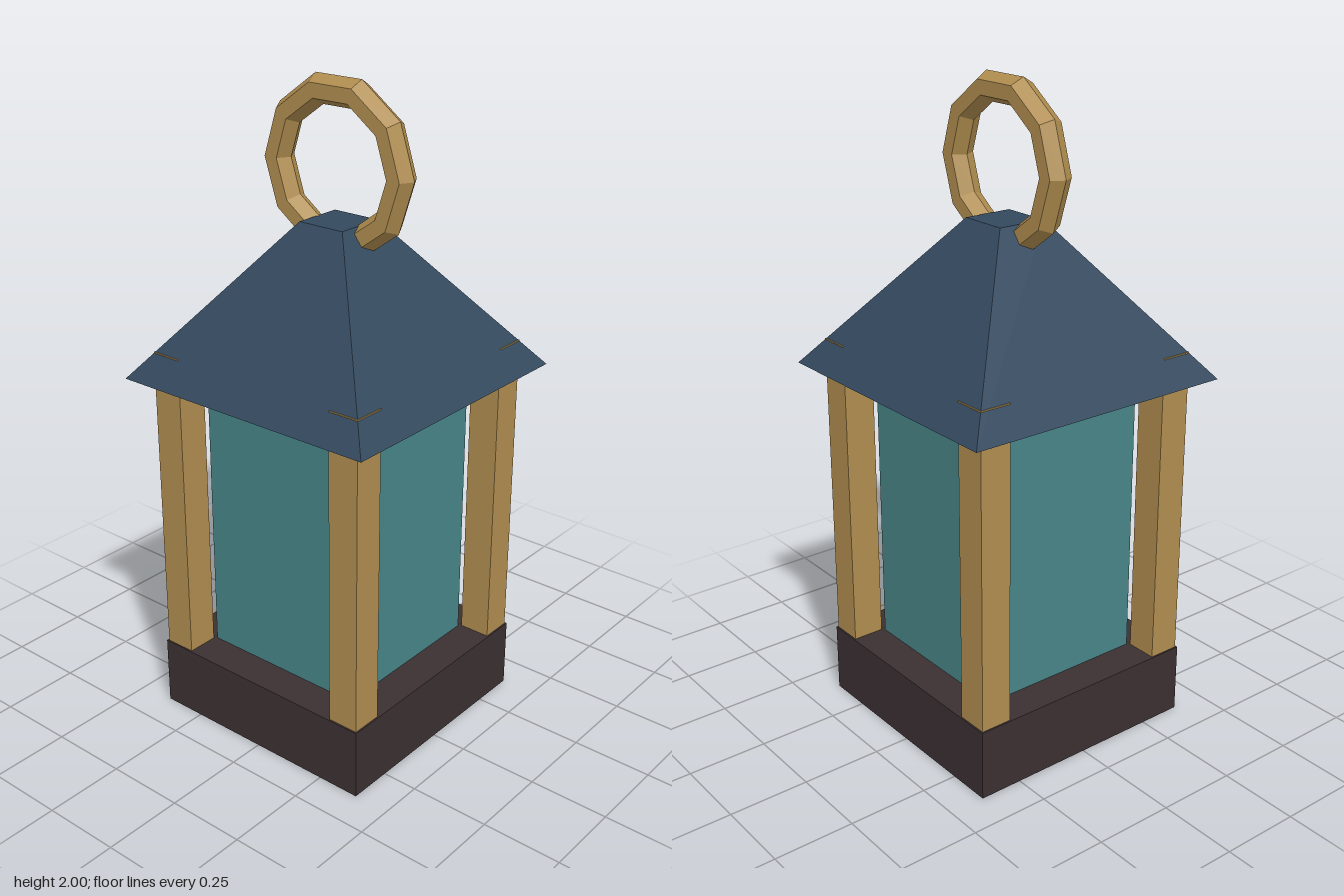
import * as THREE from 'three';

const mat = (name, color) => {
  const m = new THREE.MeshStandardMaterial({ color, flatShading: true });
  m.name = name;
  return m;
};

export function createModel() {
  const lantern = new THREE.Group();
  lantern.name = 'lantern';

  const brass = mat('brass', 0xb08d4f);
  const slate = mat('slateBlue', 0x34495e);
  const glassTeal = mat('glassTeal', 0x488588);
  const darkWood = mat('darkWood', 0x3b3032);

  const add = (name, geometry, material, x, y, z) => {
    const mesh = new THREE.Mesh(geometry, material);
    mesh.name = name;
    mesh.position.set(x, y, z);
    lantern.add(mesh);
    return mesh;
  };
  // Square block spanning bottom..top
  const block = (name, width, bottom, top, material, x = 0, z = 0) =>
    add(name, new THREE.BoxGeometry(width, top - bottom, width), material, x, (bottom + top) / 2, z);

  // Base and glass body
  block('base', 0.776, 0, 0.222, darkWood);
  block('glass', 0.55, 0.222, 1.13, glassTeal);

  // Corner posts, whose tops just break through the roof
  for (const [sx, zName] of [[1, 'Left'], [-1, 'Right']]) {
    for (const [sz, xName] of [[1, 'front'], [-1, 'back']]) {
      block(`${xName}${zName}Post`, 0.1, 0.222, 1.208, brass, sx * 0.333, sz * 0.333);
    }
  }

  // Hipped roof: four-sided frustum with a flat cap
  const eave = 0.444, cap = 0.079, roofBottom = 1.127, roofTop = 1.59;
  const roof = new THREE.CylinderGeometry(cap * Math.SQRT2, eave * Math.SQRT2, roofTop - roofBottom, 4);
  roof.rotateY(Math.PI / 4);
  add('roof', roof, slate, 0, (roofBottom + roofTop) / 2, 0);

  // Carrying ring sunk into the roof cap
  add('ring', new THREE.TorusGeometry(0.222, 0.045, 6, 10), brass, 0, 1.746, 0);

  return lantern;
}
